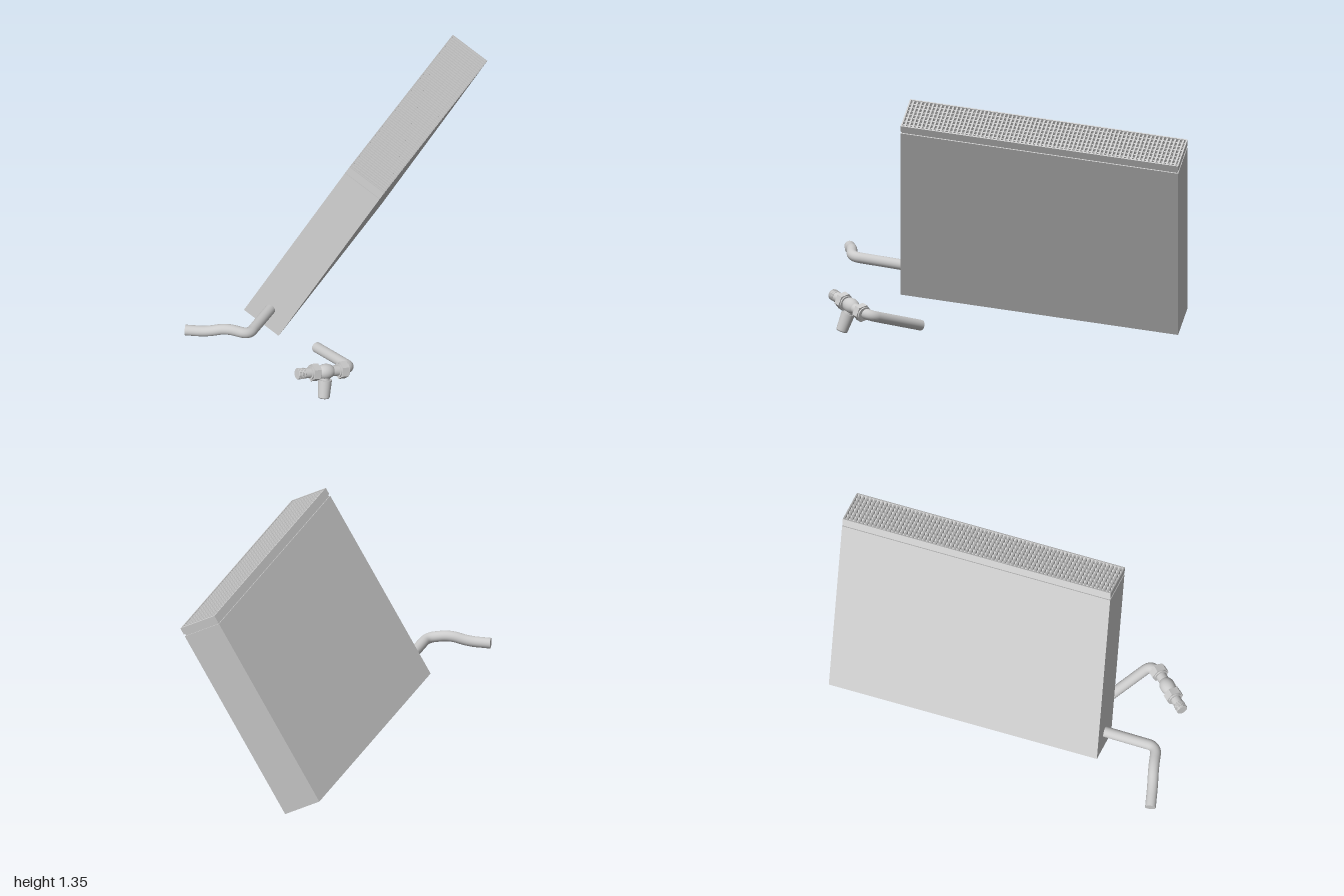
import * as THREE from 'three';

const V = (x, y, z) => new THREE.Vector3(x, y, z);
const grey = new THREE.MeshStandardMaterial({ color: 0xcccccc });
const greyDouble = new THREE.MeshStandardMaterial({ color: 0xcccccc, side: THREE.DoubleSide });
const greyFlat = new THREE.MeshStandardMaterial({ color: 0xcccccc, flatShading: true });

function add(parent, name, geometry, material = grey) {
  const mesh = new THREE.Mesh(geometry, material);
  mesh.name = name;
  parent.add(mesh);
  return mesh;
}

function box(parent, name, w, h, d, x, y, z) {
  add(parent, name, new THREE.BoxGeometry(w, h, d), greyFlat).position.set(x, y, z);
}

// Straight runs joined by rounded elbows
function bentPipe(parent, name, points, bend, radius) {
  const path = new THREE.CurvePath();
  let from = points[0];
  for (let i = 1; i < points.length - 1; i++) {
    const p = points[i];
    const a = p.clone().add(points[i - 1].clone().sub(p).setLength(bend));
    const b = p.clone().add(points[i + 1].clone().sub(p).setLength(bend));
    path.add(new THREE.LineCurve3(from, a));
    path.add(new THREE.QuadraticBezierCurve3(a, p, b));
    from = b;
  }
  path.add(new THREE.LineCurve3(from, points[points.length - 1]));
  add(parent, name, new THREE.TubeGeometry(path, 80, radius, 20), greyDouble);
  // Closed pipe ends
  [0, 1].forEach((t) => {
    const cap = add(parent, name + 'End', new THREE.CircleGeometry(radius, 20), greyDouble);
    cap.position.copy(path.getPointAt(t));
    cap.quaternion.setFromUnitVectors(V(0, 0, 1), path.getTangentAt(t));
  });
}

function createRadiator() {
  const W = 0.241, H = 1.22, L = 1.58, capH = 0.04, gap = 0.012;
  const g = new THREE.Group();
  g.name = 'radiator';

  // Casing, shadow gap and grille base
  const bodyH = H - capH - gap;
  box(g, 'casing', W, bodyH, L, 0, bodyH / 2, 0);
  box(g, 'shadowGap', W - 0.012, gap, L - 0.012, 0, bodyH + gap / 2, 0);

  // Rim around the grille
  const rect = (target, w, l) => target.moveTo(-w / 2, -l / 2).lineTo(w / 2, -l / 2)
    .lineTo(w / 2, l / 2).lineTo(-w / 2, l / 2).closePath();
  const shape = new THREE.Shape();
  rect(shape, W, L);
  const hole = new THREE.Path();
  rect(hole, W - 0.016, L - 0.016);
  shape.holes.push(hole);
  const rim = new THREE.ExtrudeGeometry(shape, { depth: capH, bevelEnabled: false });
  rim.rotateX(-Math.PI / 2).translate(0, H - capH, 0);
  add(g, 'grilleRim', rim, greyFlat);

  // Grille slats and the bars crossing them
  const slats = 70, bars = 7;
  for (let i = 1; i < slats; i++) {
    box(g, 'grilleSlat', W - 0.01, 0.026, 0.01, 0, H - 0.016, -L / 2 + (i * L) / slats);
  }
  for (let i = 1; i <= bars; i++) {
    box(g, 'grilleBar', 0.008, 0.022, L - 0.01, -W / 2 + (i * W) / (bars + 1), H - 0.02, 0);
  }

  // Tilt of the whole panel
  const up = V(0.4877, 0.873, 0).normalize();
  const along = V(-0.193, 0.1077, 0.9753).normalize();
  const across = up.clone().cross(along).normalize();
  g.quaternion.setFromRotationMatrix(new THREE.Matrix4().makeBasis(across, up, along));
  g.position.set(-0.165, 0.143, -0.199);
  return g;
}

function createValve() {
  const g = new THREE.Group();
  g.name = 'valve';
  const lathe = (pts) => new THREE.LatheGeometry(pts.map(([r, y]) => new THREE.Vector2(r, y)), 24);

  // Rounded body along the flow axis
  const body = add(g, 'valveBody', new THREE.SphereGeometry(0.043, 24, 16));
  body.scale.set(1, 1.35, 1);
  add(g, 'valveBore', new THREE.CylinderGeometry(0.03, 0.03, 0.2, 24));

  // Hexagonal union nuts
  [-0.105, 0.07].forEach((y) => {
    add(g, 'unionNut', new THREE.CylinderGeometry(0.051, 0.051, 0.04, 6), greyFlat).position.y = y;
    add(g, 'nutCollar', new THREE.CylinderGeometry(0.039, 0.039, 0.056, 24)).position.y = y;
  });

  // Outlet stub with thread rings
  add(g, 'outletStub', new THREE.CylinderGeometry(0.029, 0.029, 0.1, 24)).position.y = 0.13;
  for (let i = 0; i < 5; i++) {
    const ring = add(g, 'threadRing', new THREE.TorusGeometry(0.029, 0.003, 6, 24));
    ring.rotation.x = Math.PI / 2;
    ring.position.y = 0.14 + i * 0.009;
  }

  // Tapered hand cap on its stem
  const handle = new THREE.Group();
  handle.name = 'handle';
  add(handle, 'stem', new THREE.CylinderGeometry(0.026, 0.026, 0.06, 24)).position.y = 0.03;
  add(handle, 'handCap', new THREE.CylinderGeometry(0.033, 0.039, 0.1, 24)).position.y = 0.097;
  add(handle, 'handCapTop', lathe([[0.033, 0.147], [0.03, 0.153], [0, 0.154]]));
  handle.rotation.x = Math.PI / 2;
  g.add(handle);

  // Flow axis is local y, handle axis is local z
  const flow = V(-0.225, 0.06, 0.16).normalize();
  const down = V(0, -0.94, 0.34).addScaledVector(flow, -flow.dot(V(0, -0.94, 0.34))).normalize();
  const side = flow.clone().cross(down);
  g.quaternion.setFromRotationMatrix(new THREE.Matrix4().makeBasis(side, flow, down));
  g.position.set(0.1, 0.168, 0.873);
  return g;
}

export function createModel() {
  const model = new THREE.Group();
  model.name = 'radiatorWithPipes';
  model.add(createRadiator(), createValve());

  // Return pipe from the narrow front face
  bentPipe(model, 'returnPipe', [
    V(-0.266, 0.325, 0.56), V(-0.333, 0.364, 0.868), V(-0.46, 0.388, 0.868),
    V(-0.57, 0.358, 0.876), V(-0.69, 0.355, 0.88),
  ], 0.05, 0.03);

  // Supply pipe running into the valve
  bentPipe(model, 'supplyPipe', [
    V(-0.02, 0.035, 0.485), V(0.222, 0.135, 0.765), V(0.17, 0.15, 0.823),
  ], 0.045, 0.03);

  return model;
}
